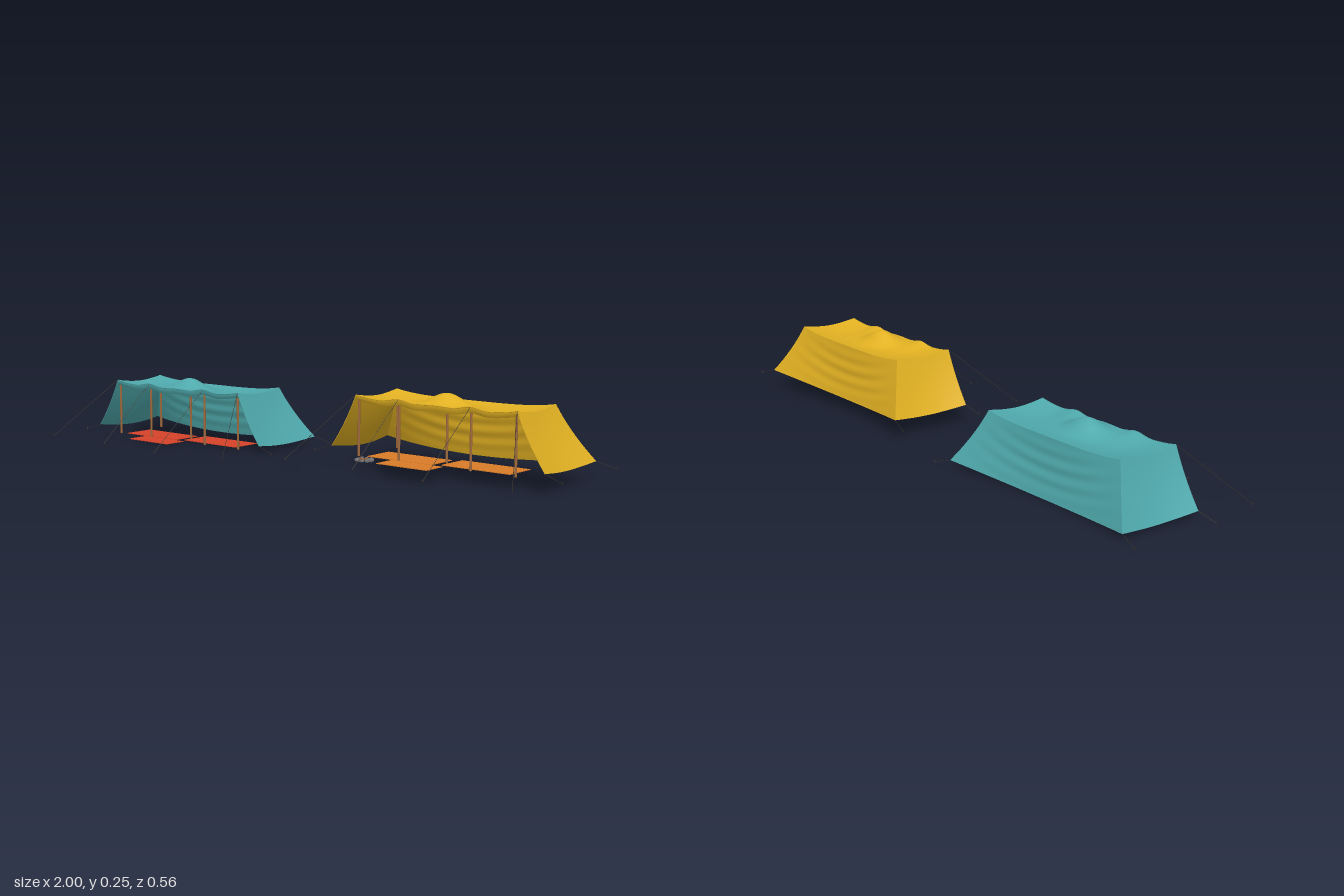
import * as THREE from 'three';

const V = (x, y, z) => new THREE.Vector3(x, y, z);
const mat = (color, extra = {}) => new THREE.MeshStandardMaterial({ color, ...extra });
const lerp = THREE.MathUtils.lerp;
const FRONT = 0.043, BACK = -0.165, HALF = 0.29, EAVE = 0.19;

function add(parent, name, geometry, material) {
  const mesh = new THREE.Mesh(geometry, material);
  mesh.name = name;
  parent.add(mesh);
  return mesh;
}

// Smooth grid surface from a rule f(u, v), both 0..1
function patch(f, nu, nv) {
  const pos = [], idx = [];
  for (let j = 0; j <= nv; j++)
    for (let i = 0; i <= nu; i++) pos.push(...f(i / nu, j / nv).toArray());
  for (let j = 0; j < nv; j++)
    for (let i = 0; i < nu; i++) {
      const a = j * (nu + 1) + i, b = a + 1, c = a + nu + 1, d = c + 1;
      idx.push(a, c, b, b, c, d);
    }
  const g = new THREE.BufferGeometry();
  g.setAttribute('position', new THREE.Float32BufferAttribute(pos, 3));
  g.setIndex(idx);
  g.computeVertexNormals();
  return g;
}

// Straight round bar between two points
function bar(a, b, r, sides) {
  const d = b.clone().sub(a);
  const g = new THREE.CylinderGeometry(r, r, d.length(), sides);
  g.applyQuaternion(new THREE.Quaternion().setFromUnitVectors(V(0, 1, 0), d.normalize()));
  const m = a.clone().add(b).multiplyScalar(0.5);
  return g.translate(m.x, m.y, m.z);
}

// Roof cloth: sagging sheet lifted by the centre pole and the front poles
function roof(u, t) {
  const x = lerp(-HALF, HALF, u), z = lerp(BACK, FRONT, t);
  const inner = 1 - Math.pow(x / HALF, 4);
  let y = EAVE - 0.011 * Math.sin(Math.PI * t) - 0.014 * inner;
  y += 0.046 * Math.exp(-((x / 0.075) ** 2) - ((z + 0.03) / 0.05) ** 2);
  for (const px of [-0.13, 0.13]) y += 0.012 * Math.exp(-(((x - px) / 0.04) ** 2)) * t * t;
  return V(x, y, z);
}

// Slack hang of a wall between its top and bottom edges
function hang(top, bottom, v) {
  const s = v - 0.28 * v * (1 - v);
  return V(lerp(top.x, bottom.x, s), lerp(top.y, bottom.y, v), lerp(top.z, bottom.z, s));
}

function backWall(u, v) {
  const k = (2 * u - 1) ** 2;
  const p = hang(roof(u, 0), V(lerp(-0.385, 0.385, u), 0.002 + 0.02 * k, -0.2 - 0.04 * k), v);
  // Shallow swag folds
  p.z += 0.0018 * Math.sin(26 * (v + 0.25 * k)) * Math.sin(Math.PI * v) * (1 - k);
  return p;
}

function sideWall(side, t, v) {
  const bow = Math.sin(Math.PI * t);
  const bottom = V(side * (0.385 - 0.012 * bow), 0.022 - 0.011 * bow, lerp(-0.24, FRONT, t));
  return hang(roof(side > 0 ? 1 : 0, t), bottom, v);
}

function makeTent(clothColor, matColor) {
  const tent = new THREE.Group();
  const cloth = mat(clothColor, { side: THREE.DoubleSide });
  const wood = mat(0xa06a3c), rope = mat(0x3a342c), rug = mat(matColor);

  add(tent, 'roof', patch(roof, 56, 28), cloth);
  add(tent, 'backWall', patch((u, v) => backWall(1 - u, v), 48, 24), cloth);
  add(tent, 'leftWall', patch((u, v) => sideWall(1, 1 - u, v), 20, 20), cloth);
  add(tent, 'rightWall', patch((u, v) => sideWall(-1, u, v), 20, 20), cloth);

  // Valance hanging from the front eave
  add(tent, 'frontValance', patch((u, v) => {
    const p = roof(u, 1);
    p.y -= v * (0.016 + 0.004 * Math.sin(Math.PI * u));
    p.z -= 0.005 * v * v;
    return p;
  }, 56, 4), cloth);

  // Thin hem cords along open cloth edges
  const hem = (name, f) => {
    const pts = Array.from({ length: 25 }, (_, i) => f(i / 24));
    add(tent, name, new THREE.TubeGeometry(new THREE.CatmullRomCurve3(pts), 48, 0.0012, 5), cloth);
  };
  hem('frontHem', (s) => roof(s, 1));
  for (const s of [-1, 1]) hem('sideHem', (v) => sideWall(s, 1, v));

  // Poles
  const pole = (name, x, z, h) =>
    add(tent, name, bar(V(x, 0, z), V(x, h, z), 0.004, 10), wood);
  pole('centrePole', 0, -0.03, 0.207);
  for (const s of [-1, 1]) {
    pole('frontCornerPole', s * 0.284, 0.035, 0.186);
    pole('frontMiddlePole', s * 0.13, 0.035, 0.182);
    pole('backPole', s * 0.284, -0.161, 0.186);
  }

  // Guy ropes, each ending in a ground peg
  const guy = (a, b) => {
    add(tent, 'guyRope', bar(a, b, 0.0008, 5), rope);
    const lean = V(b.x - a.x, 0, b.z - a.z).normalize().multiplyScalar(0.003);
    add(tent, 'peg', bar(V(b.x, 0, b.z), V(b.x + lean.x, 0.008, b.z + lean.z), 0.0014, 6), rope);
  };
  for (const s of [-1, 1]) {
    guy(V(s * HALF, EAVE, FRONT), V(s * 0.405, 0.004, 0.24));
    guy(V(s * 0.13, 0.186, FRONT), V(s * 0.135, 0.004, s > 0 ? 0.277 : 0.252));
    guy(V(s * 0.385, 0.022, FRONT), V(s * 0.446, 0.003, 0.052));
    guy(V(s * 0.385, 0.022, -0.24), V(s * 0.446, 0.003, -0.252));
  }

  // Ground mats: [name, x0, x1, z0, z1]
  for (const [name, x0, x1, z0, z1] of [
    ['leftMat', 0.015, 0.255, -0.09, 0.02],
    ['rightMat', -0.25, -0.01, -0.072, 0.038],
    ['frontMat', -0.15, 0.035, 0.042, 0.122],
  ]) {
    const g = new THREE.BoxGeometry(x1 - x0, 0.002, z1 - z0);
    add(tent, name, g.translate((x0 + x1) / 2, 0.002, (z0 + z1) / 2), rug);
  }
  return tent;
}

// Ring of stones around crossed logs
function makeFirePit() {
  const pit = new THREE.Group();
  pit.name = 'firePit';
  const stone = mat(0x6f7072, { flatShading: true }), log = mat(0x9a5a2c);
  for (let i = 0; i < 10; i++) {
    const a = (i / 10) * Math.PI * 2;
    const rock = add(pit, 'stone', new THREE.DodecahedronGeometry(0.008), stone);
    rock.position.set(0.024 * Math.cos(a), 0.005, 0.022 * Math.sin(a));
    rock.scale.set(1.05, 0.75 + 0.12 * Math.sin(i * 2.3), 0.9);
    rock.rotation.y = i * 1.7;
  }
  for (let i = 0; i < 4; i++) {
    const a = (i / 4) * Math.PI + 0.3, c = 0.017 * Math.cos(a), s = 0.017 * Math.sin(a);
    add(pit, 'log', bar(V(-c, 0.003, -s), V(c, 0.01, s), 0.003, 7), log);
  }
  return pit;
}

export function createModel() {
  const model = new THREE.Group();
  model.name = 'camp';

  const tealTent = makeTent(0x4fa9ac, 0xd64228);
  tealTent.name = 'tealTent';
  tealTent.position.set(-0.55, 0, -0.025);

  const yellowTent = makeTent(0xe2b122, 0xd97c28);
  yellowTent.name = 'yellowTent';
  yellowTent.position.set(0.55, 0.04, 0);

  const pit = makeFirePit();
  pit.position.set(0.33, 0.036, 0.088);

  model.add(tealTent, yellowTent, pit);
  return model;
}
